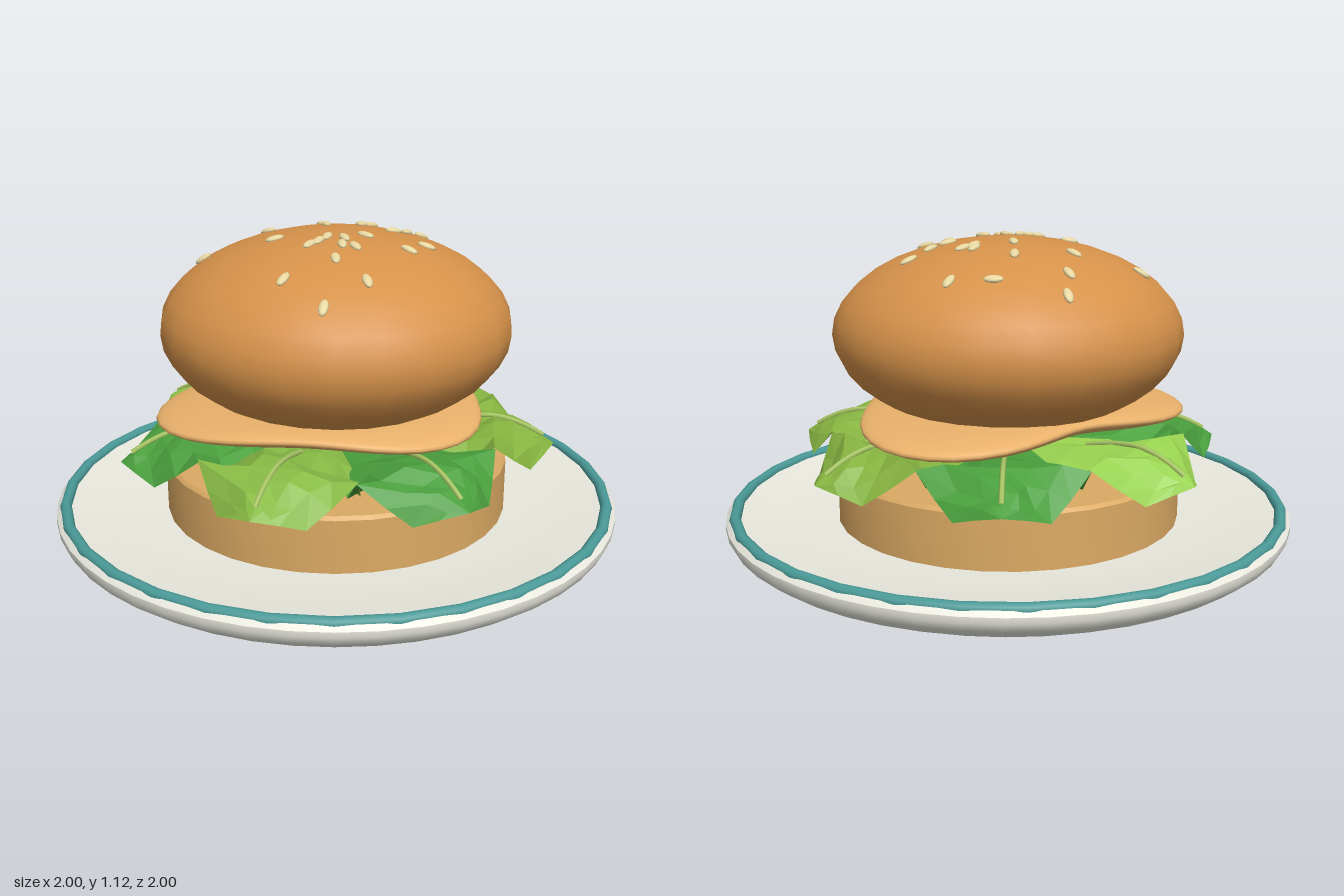
import * as THREE from 'three';
import { mergeVertices, toCreasedNormals } from 'three/addons/utils/BufferGeometryUtils.js';

const BUN = { y: 0.78, rx: 0.612, ry: 0.33 };

function part(name, geometry, color, options = {}) {
  const mesh = new THREE.Mesh(geometry, new THREE.MeshStandardMaterial({ color, ...options }));
  mesh.name = name;
  return mesh;
}

function lathe(points, segments) {
  const geo = new THREE.LatheGeometry(points.map(([x, y]) => new THREE.Vector2(x, y)), segments);
  return toCreasedNormals(geo, 0.6);
}

// Three-lobed, softly drooping patty made by reshaping a sphere
function pattyGeometry() {
  let geo = new THREE.SphereGeometry(1, 48, 20);
  const pos = geo.attributes.position;
  for (let i = 0; i < pos.count; i++) {
    const x = pos.getX(i), y = pos.getY(i), z = pos.getZ(i);
    const rad = Math.min(1, Math.hypot(x, z)), a = Math.atan2(z, x);
    const lobe = Math.cos(3 * (a - Math.PI / 2));
    const r = Math.pow(rad, 0.6) * (0.545 + 0.07 * lobe + 0.05 * Math.cos(2 * a));
    pos.setXYZ(i, r * Math.cos(a), 0.502 + 0.05 * y - 0.015 * lobe * rad * rad, r * Math.sin(a));
  }
  geo.deleteAttribute('uv');
  geo.deleteAttribute('normal');
  geo = mergeVertices(geo, 1e-4);
  geo.computeVertexNormals();
  return geo;
}

// Leaf rows: [distance from centre, half width, midrib height, edge height]
const LEAF = [
  [0.15, 0.08, 0.40, 0.40], [0.35, 0.20, 0.42, 0.38], [0.47, 0.25, 0.445, 0.35],
  [0.56, 0.275, 0.45, 0.44], [0.63, 0.21, 0.435, 0.37], [0.69, 0.15, 0.41, 0.315],
  [0.735, 0.08, 0.385, 0.34], [0.775, 0.0, 0.36, 0.36],
];

function leafGeometry(seed) {
  const across = 6, verts = [], index = [];
  LEAF.forEach(([r, w, mid, edge], row) => {
    for (let j = 0; j <= across; j++) {
      const s = (j / across) * 2 - 1, k = Math.abs(s);
      const ruffle = 0.018 * k * (1 - k) * 4 * Math.sin(row * 2.1 + j * 1.7 + seed);
      verts.push(r, mid + (edge - mid) * k * k + ruffle * Math.min(1, w * 6), s * w);
      if (row && j) {
        const d = row * (across + 1) + j, b = d - across - 1;
        index.push(b - 1, b, d - 1, b, d, d - 1);
      }
    }
  });
  const geo = new THREE.BufferGeometry();
  geo.setAttribute('position', new THREE.Float32BufferAttribute(verts, 3));
  geo.setIndex(index);
  geo.computeVertexNormals();
  return geo;
}

// Sesame seeds: x, z, heading in degrees
const SEEDS = [
  [-0.29, -0.36, 45], [-0.06, -0.28, 80], [0.06, -0.40, 100], [0.13, -0.48, 110],
  [0.29, -0.31, 40], [0.39, -0.21, 155], [0.14, -0.22, 130], [0.06, -0.11, 120],
  [-0.19, -0.10, 30], [0.20, -0.08, 155], [0.18, -0.05, 160], [0.22, -0.045, 0],
  [-0.18, 0.06, 170], [-0.14, 0.06, 160], [-0.09, 0.05, 150], [-0.06, 0.10, 115],
  [-0.11, 0.14, 130], [-0.09, 0.18, 110], [-0.20, 0.20, 130], [0.02, 0.12, 80],
  [0.19, 0.09, 20], [0.26, 0.09, 165], [0.36, 0.07, 10], [-0.38, 0.15, 165],
  [-0.38, 0.33, 145], [-0.21, 0.35, 120], [0.06, 0.28, 80], [0.17, 0.26, 55],
];

function sesameSeeds() {
  const group = new THREE.Group();
  group.name = 'sesameSeeds';
  const geo = new THREE.SphereGeometry(1, 10, 8).scale(0.033, 0.011, 0.016);
  SEEDS.forEach(([x, z, deg]) => {
    const h = BUN.ry * Math.sqrt(1 - (x * x + z * z) / BUN.rx ** 2);
    const up = new THREE.Vector3(x / BUN.rx ** 2, h / BUN.ry ** 2, z / BUN.rx ** 2).normalize();
    const a = THREE.MathUtils.degToRad(deg);
    const along = new THREE.Vector3(Math.cos(a), 0, Math.sin(a)).projectOnPlane(up).normalize();
    const side = new THREE.Vector3().crossVectors(along, up);
    const seed = part('sesameSeed', geo, 0xe6d6a0);
    seed.quaternion.setFromRotationMatrix(new THREE.Matrix4().makeBasis(along, up, side));
    seed.position.set(x, BUN.y + h, z).addScaledVector(up, 0.002);
    group.add(seed);
  });
  return group;
}

export function createModel() {
  const model = new THREE.Group();
  model.name = 'burgerOnPlate';

  // Plate with coloured rim
  model.add(part('plate', lathe([
    [0, 0], [0.79, 0], [0.87, 0.03], [0.94, 0.065], [0.985, 0.1], [1, 0.13], [1, 0.15],
    [0.985, 0.165], [0.95, 0.162], [0.85, 0.145], [0.7, 0.13], [0.5, 0.12], [0, 0.12],
  ], 48), 0xe9e9df));
  const rim = part('plateRim', new THREE.TorusGeometry(0.968, 0.02, 10, 32), 0x4a9a98);
  rim.rotation.x = Math.PI / 2;
  rim.position.y = 0.162;
  model.add(rim);

  // Bottom bun
  model.add(part('bottomBun', lathe([
    [0, 0.11], [0.61, 0.11], [0.61, 0.31], [0.6, 0.322], [0, 0.322],
  ], 32), 0xdcaa64));

  // Ring of seven ruffled lettuce leaves, each with a midrib
  const greens = [0x86b440, 0x86b440, 0x4a9f3d, 0x88bb45, 0x4a9f3d, 0x98d24f, 0x4a9f3d];
  const ribPath = new THREE.CatmullRomCurve3(
    LEAF.slice(1, 7).map(([r, , mid]) => new THREE.Vector3(r, mid + 0.004, 0)));
  const ribGeo = new THREE.TubeGeometry(ribPath, 16, 0.009, 6);
  greens.forEach((color, i) => {
    const leaf = new THREE.Group();
    leaf.name = 'lettuceLeaf';
    leaf.add(
      part('leafBlade', leafGeometry(i), color, { flatShading: true, side: THREE.DoubleSide }),
      part('leafRib', ribGeo, 0xa9c865));
    leaf.rotation.y = -i * Math.PI * 2 / 7;
    leaf.position.y = (i % 2) * 0.006;
    model.add(leaf);
  });

  // Patty
  model.add(part('patty', pattyGeometry(), 0xe8b06a));

  // Top bun with seeds
  const topBun = part('topBun', new THREE.SphereGeometry(1, 24, 18), 0xd6924a);
  topBun.scale.set(BUN.rx, BUN.ry, BUN.rx);
  topBun.position.y = BUN.y;
  model.add(topBun, sesameSeeds());

  return model;
}
